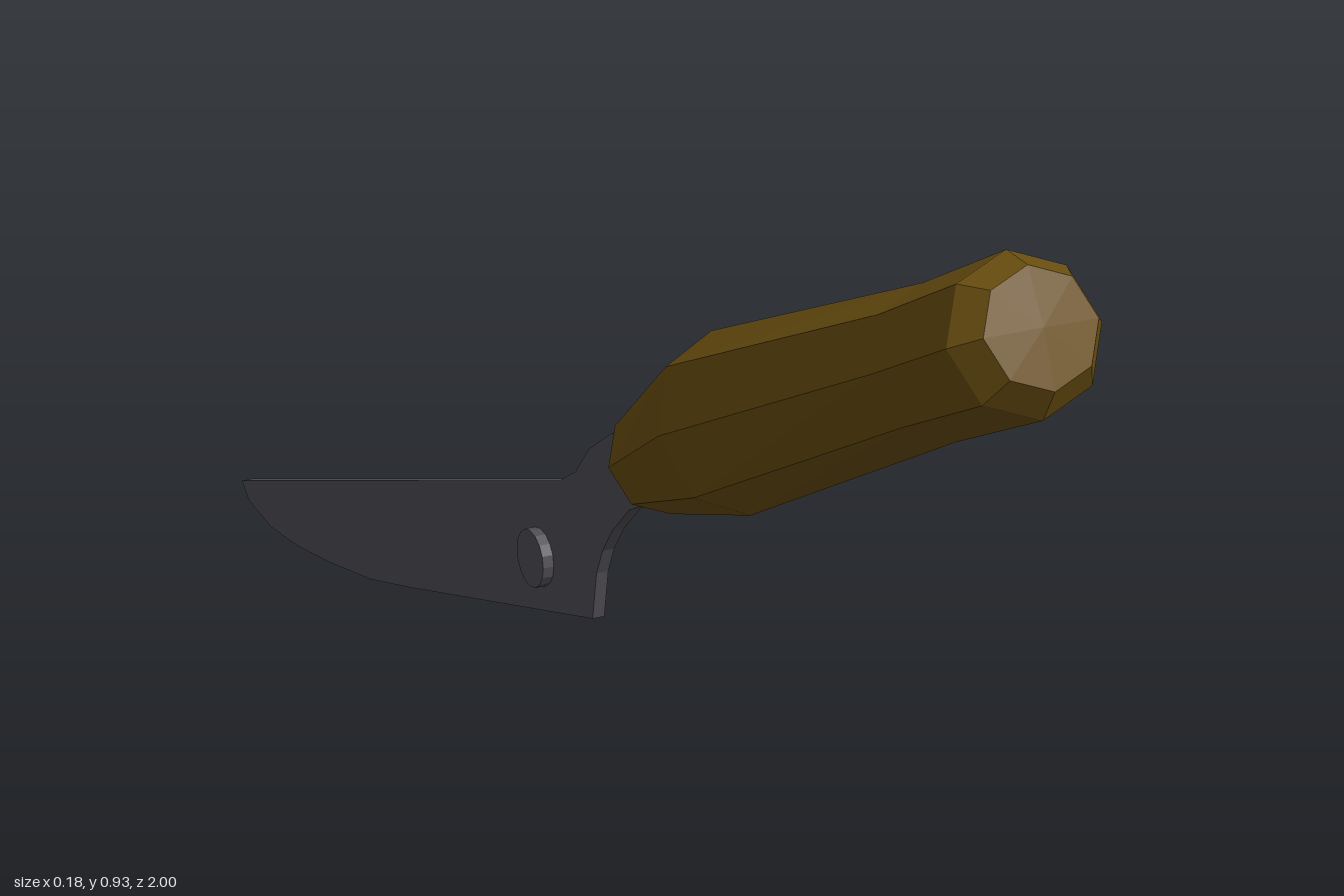
import * as THREE from 'three';

const wood = new THREE.MeshStandardMaterial({ color: 0x6b4f10, flatShading: true });
wood.name = 'brown wood';
const steel = new THREE.MeshStandardMaterial({ color: 0x504e54, flatShading: true });
steel.name = 'dark steel';

function part(name, geometry, material) {
  const mesh = new THREE.Mesh(geometry, material);
  mesh.name = name;
  return mesh;
}

// Eight-sided grip: rings of [radius, distance along axis, height factor, lift]
function handleGeometry() {
  const rings = [
    [0, -0.016, 1, 0], [0.05, -0.014, 1, 0], [0.063, 0.004, 1, 0],
    [0.088, 0.198, 1.16, 0.012], [0.08, 0.687, 1.02, 0.003],
    [0.088, 0.868, 0.97, 0.002], [0.065, 0.903, 0.97, 0.003], [0, 0.908, 1, 0.003],
  ];
  const geo = new THREE.LatheGeometry(rings.map(([r, t]) => new THREE.Vector2(r, t)), 8);
  const pos = geo.attributes.position;
  for (let i = 0; i < pos.count; i++) {
    const [, , k, lift] = rings[i % rings.length];
    pos.setZ(i, pos.getZ(i) * k - lift);
  }
  return geo;
}

// Blade and tang share one flat outline, given as [z, y]
function bladeGeometry() {
  const thickness = 0.015;
  const outline = [
    [0.24, 0.545], [0.154, 0.5], [0.07, 0.462], [0.015, 0.425], [-0.018, 0.386], [-0.06, 0.36],
    [-0.994, 0.034], [-0.972, 0.014], [-0.9, 0.002], [-0.82, 0.006], [-0.715, 0.02],
    [-0.59, 0.043], [-0.473, 0.075], [0.025, 0.22], [0.035, 0.28], [0.05, 0.313],
    [0.075, 0.347], [0.116, 0.386], [0.18, 0.418], [0.25, 0.46],
  ].map(([z, y]) => new THREE.Vector2(z, y));
  const geo = new THREE.ExtrudeGeometry(new THREE.Shape(outline), { depth: thickness, bevelEnabled: false });
  geo.translate(0, 0, -thickness / 2);
  return geo.rotateY(-Math.PI / 2);
}

export function createModel() {
  const model = new THREE.Group();
  model.name = 'knife';

  const handle = part('handle', handleGeometry(), wood);
  handle.position.set(0, 0.465, 0.17);
  handle.rotation.x = THREE.MathUtils.degToRad(63);
  model.add(handle);

  model.add(part('blade', bladeGeometry(), steel));

  // Pin through the heel of the blade
  const rivet = part('rivet', new THREE.CylinderGeometry(0.035, 0.035, 0.038, 16), steel);
  rivet.rotation.z = Math.PI / 2;
  rivet.position.set(-0.002, 0.248, -0.11);
  model.add(rivet);

  return model;
}
